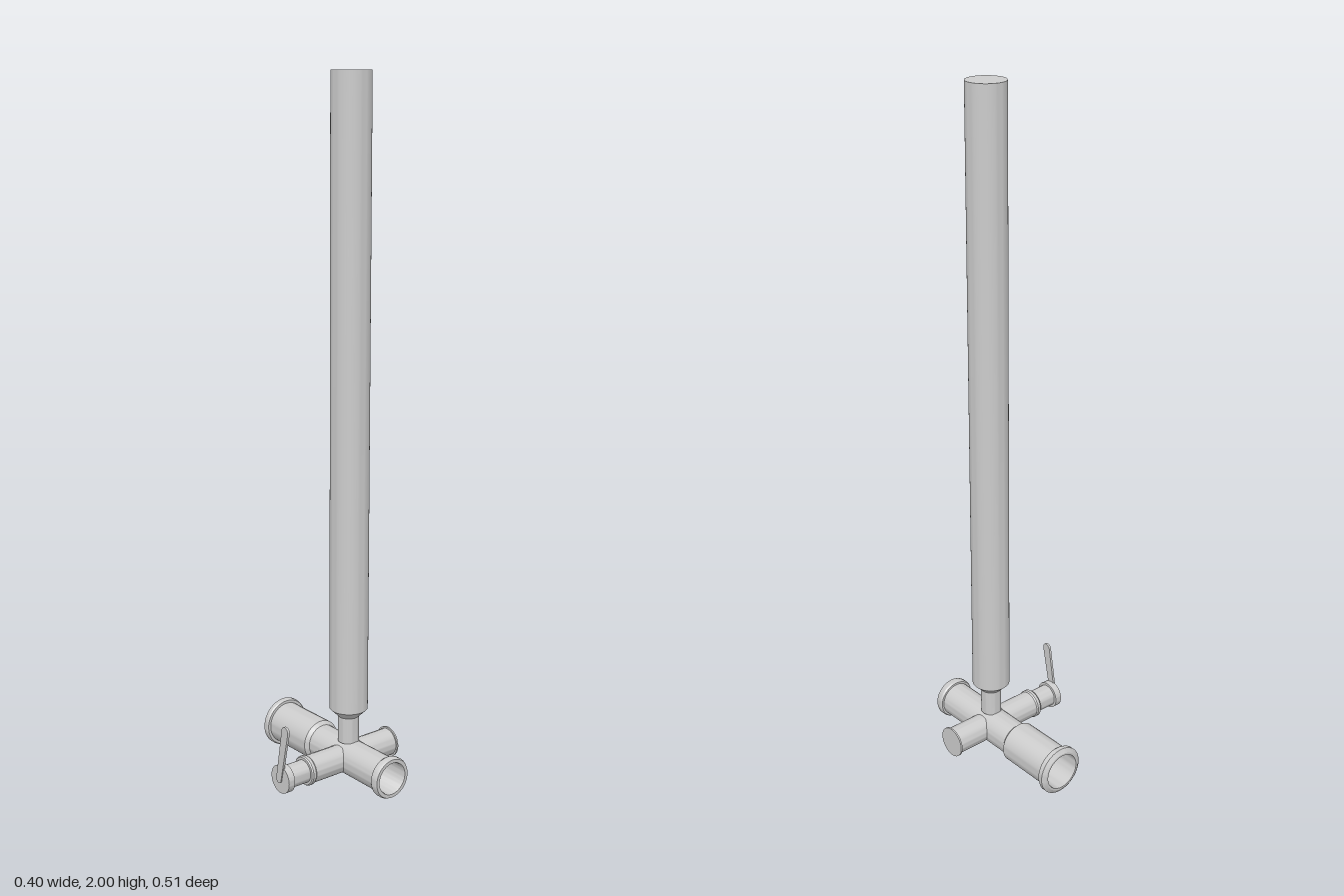
import * as THREE from 'three';
import { toCreasedNormals } from 'three/addons/utils/BufferGeometryUtils.js';

const CX = 0.047, CY = 0.072, CZ = 0.061; // where the pipe axes cross
const material = new THREE.MeshStandardMaterial({ color: 0xcccccc, side: THREE.DoubleSide });

// Turned part: profile of [radius, position along the axis], outside first
function turned(name, profile, axis) {
  const points = profile.map(([r, t]) => new THREE.Vector2(r, t));
  const geometry = toCreasedNormals(new THREE.LatheGeometry(points, 48), 0.5);
  const mesh = new THREE.Mesh(geometry, material);
  mesh.name = name;
  if (axis === 'x') {
    mesh.rotation.z = -Math.PI / 2;
    mesh.position.set(0, CY, CZ);
  } else if (axis === 'z') {
    mesh.rotation.x = Math.PI / 2;
    mesh.position.set(CX, CY, 0);
  } else {
    mesh.position.set(CX, 0, CZ);
  }
  return mesh;
}

export function createModel() {
  const group = new THREE.Group();
  group.name = 'pipeFitting';

  // Open main pipe with a wide socket at the back and a collar at the front
  group.add(turned('mainPipe', [
    [0.054, -0.258], [0.060, -0.258], [0.072, -0.250], [0.072, -0.238], [0.069, -0.233], [0.061, -0.233],
    [0.061, -0.067], [0.051, -0.057], [0.051, 0.229],
    [0.057, 0.229], [0.060, 0.234], [0.060, 0.248], [0.057, 0.254], [0.047, 0.254],
    [0.045, 0.250], [0.045, -0.057], [0.054, -0.067], [0.054, -0.258],
  ], 'z'));

  // Tall closed riser, tapering down to its neck
  group.add(turned('riser', [
    [0, 0.12], [0.03, 0.12], [0.03, 0.198], [0.055, 0.222], [0.055, 2], [0, 2],
  ], 'y'));

  // Cross pipe, narrower where it passes through the main pipe
  group.add(turned('crossPipe', [
    [0, -0.118], [0.040, -0.118], [0.043, -0.114], [0.043, -0.105], [0.040, -0.101],
    [0.040, 0.012], [0.033, 0.012], [0.033, 0.082], [0.040, 0.082],
    [0.040, 0.195], [0.045, 0.195], [0.045, 0.2], [0, 0.2],
  ], 'x'));

  // Valve stem and its round cap
  group.add(turned('valveStem', [
    [0, -0.19], [0.033, -0.19], [0.033, -0.115], [0, -0.115],
  ], 'x'));
  group.add(turned('valveCap', [
    [0, -0.2], [0.041, -0.2], [0.041, -0.196], [0.041, -0.179], [0, -0.179],
  ], 'x'));

  // Flat valve lever with rounded ends, leaning forward
  const length = 0.155, r0 = 0.011, r1 = 0.014;
  const outline = new THREE.Shape();
  outline.absarc(0, length, r1, 0, Math.PI);
  outline.absarc(0, 0, r0, Math.PI, Math.PI * 2);
  const plate = new THREE.ExtrudeGeometry(outline, { depth: 0.007, bevelEnabled: false, curveSegments: 16 });
  plate.translate(0, 0, -0.0035).rotateY(-Math.PI / 2);
  const lever = new THREE.Mesh(toCreasedNormals(plate, 0.6), material);
  lever.name = 'valveLever';
  lever.rotation.x = 0.19;
  lever.position.set(-0.1995, CY, CZ - 0.004);
  group.add(lever);

  return group;
}
